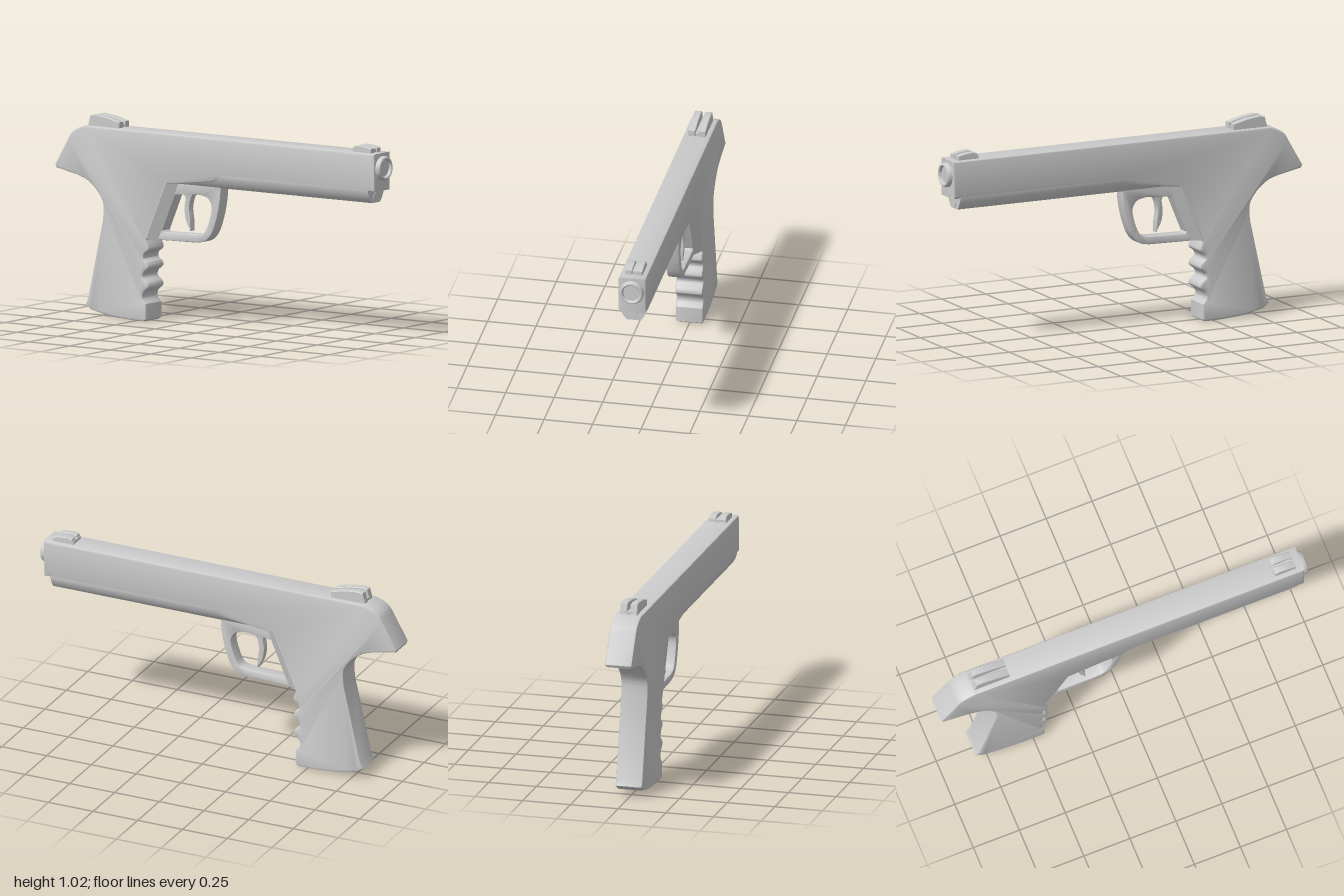
import * as THREE from 'three';
import { toCreasedNormals } from 'three/addons/utils/BufferGeometryUtils.js';

const material = new THREE.MeshStandardMaterial({ color: 0xcccccc });

function add(group, name, geometry, crease = 0.5) {
  const mesh = new THREE.Mesh(toCreasedNormals(geometry, crease), material);
  mesh.name = name;
  group.add(mesh);
  return mesh;
}

const vectors = (points) => points.map(([x, y]) => new THREE.Vector2(x, y));

// Side profile extruded symmetrically about zMid, with its outline kept by the bevel
function slab(shape, width, bevel, zMid = 0, segments = 2) {
  const geometry = new THREE.ExtrudeGeometry(shape, {
    depth: width - 2 * bevel, bevelEnabled: bevel > 0, bevelSize: bevel,
    bevelThickness: bevel, bevelOffset: -bevel, bevelSegments: segments, curveSegments: 8,
  });
  return geometry.translate(0, 0, zMid - width / 2 + bevel);
}

export function createModel() {
  const model = new THREE.Group();
  model.name = 'pistol';

  // Slide, frame and grip in one outline, counter-clockwise from the muzzle
  const body = new THREE.Shape();
  body.moveTo(0.975, 0.775);
  body.lineTo(0.975, 0.967);
  body.lineTo(-0.82, 0.967);
  body.splineThru(vectors([[-0.865, 0.95], [-0.9, 0.925], [-0.925, 0.885]]));
  body.lineTo(-1, 0.755);
  body.lineTo(-0.993, 0.74);
  body.lineTo(-0.87, 0.715);
  body.splineThru(vectors([[-0.8, 0.69], [-0.74, 0.64], [-0.704, 0.58], [-0.705, 0.5]]));
  body.lineTo(-0.797, 0.09);
  body.lineTo(-0.812, 0.06);
  body.lineTo(-0.78, 0.035);
  body.splineThru(vectors([[-0.67, 0.012], [-0.55, 0.002], [-0.45, 0]]));
  body.lineTo(-0.435, 0.01);
  body.lineTo(-0.435, 0.09);
  // Finger grooves
  body.splineThru(vectors([
    [-0.458, 0.12], [-0.45, 0.15], [-0.422, 0.175], [-0.428, 0.2], [-0.456, 0.225], [-0.45, 0.25],
    [-0.422, 0.275], [-0.428, 0.3], [-0.452, 0.32], [-0.446, 0.345], [-0.42, 0.37], [-0.436, 0.415],
  ]));
  body.lineTo(-0.31, 0.71);
  body.lineTo(-0.03, 0.745);
  body.lineTo(0.04, 0.775);
  add(model, 'slideFrameAndGrip', slab(body, 0.142, 0.011));

  // Rounded rail under the slide
  const rail = new THREE.Shape(vectors([
    [-0.07, 0.79], [-0.07, 0.772], [-0.062, 0.75], [-0.05, 0.728], [-0.034, 0.712],
    [0.034, 0.712], [0.05, 0.728], [0.062, 0.75], [0.07, 0.772], [0.07, 0.79],
  ]));
  const railGeometry = new THREE.ExtrudeGeometry(rail, { depth: 1.235, bevelEnabled: false });
  add(model, 'underRail', railGeometry.rotateY(Math.PI / 2).translate(-0.3, 0, 0));
  const plug = new THREE.CylinderGeometry(0.023, 0.023, 0.02, 20).rotateZ(Math.PI / 2);
  add(model, 'railPlug', plug.translate(0.928, 0.74, 0));

  // Muzzle ring with a shallow recessed bore
  const muzzle = new THREE.LatheGeometry(vectors([
    [0.062, 0.96], [0.062, 0.988], [0.057, 0.998], [0.05, 1], [0.045, 0.996], [0.043, 0.984], [0, 0.984],
  ]), 32);
  add(model, 'muzzle', muzzle.rotateZ(-Math.PI / 2).translate(0, 0.89, 0));

  // Trigger guard loop
  const guard = new THREE.Shape();
  guard.moveTo(-0.43, 0.417);
  guard.lineTo(-0.15, 0.422);
  guard.splineThru(vectors([[-0.095, 0.435], [-0.055, 0.475], [-0.025, 0.55], [-0.005, 0.64], [0.003, 0.725]]));
  guard.lineTo(-0.3, 0.725);
  const opening = new THREE.Path();
  opening.moveTo(-0.363, 0.467);
  opening.lineTo(-0.29, 0.655);
  opening.lineTo(-0.14, 0.668);
  opening.splineThru(vectors([[-0.085, 0.655], [-0.058, 0.615], [-0.068, 0.55], [-0.1, 0.48], [-0.15, 0.462]]));
  opening.lineTo(-0.35, 0.458);
  guard.holes.push(opening);
  add(model, 'triggerGuard', slab(guard, 0.072, 0.006));

  // Sloped transition from the full-width grip to the narrow guard
  const wedge = new THREE.Shape(vectors([[-0.03, -0.07], [0, -0.07], [0.055, -0.034], [0.055, 0.034], [0, 0.07], [-0.03, 0.07]]));
  const wedgeGeometry = new THREE.ExtrudeGeometry(wedge, { depth: 1, bevelEnabled: false });
  wedgeGeometry.applyMatrix4(new THREE.Matrix4().makeBasis(
    new THREE.Vector3(1, 0, 0), new THREE.Vector3(0, 0, -1), new THREE.Vector3(0.126, 0.3, 0),
  ).setPosition(-0.436, 0.42, 0));
  add(model, 'guardTransition', wedgeGeometry);

  // Curved trigger
  const trigger = new THREE.Shape();
  trigger.moveTo(-0.26, 0.675);
  trigger.splineThru(vectors([[-0.23, 0.645], [-0.235, 0.59], [-0.226, 0.53], [-0.197, 0.476]]));
  trigger.splineThru(vectors([[-0.198, 0.53], [-0.205, 0.59], [-0.193, 0.645], [-0.17, 0.675]]));
  add(model, 'trigger', slab(trigger, 0.04, 0.004));

  // Paired sight blades on low bases
  const sights = {
    rearSight: [[-0.815, 0.955], [-0.62, 0.955], [-0.62, 0.997], [-0.7, 1.017], [-0.77, 1.025], [-0.798, 1.02]],
    frontSight: [[0.813, 0.955], [0.935, 0.955], [0.935, 0.988], [0.9, 0.997], [0.85, 1.001], [0.828, 0.994]],
  };
  for (const [name, outline] of Object.entries(sights)) {
    const sight = new THREE.Group();
    sight.name = name;
    for (const side of [-1, 1]) {
      add(sight, 'sightBlade', slab(new THREE.Shape(vectors(outline)), 0.037, 0.003, side * 0.0265, 1));
    }
    const [start, end] = [outline[0][0], outline[1][0]];
    const base = new THREE.BoxGeometry(end - start - 0.012, 0.03, 0.08);
    add(sight, 'sightBase', base.translate((start + end) / 2, 0.967, 0));
    model.add(sight);
  }

  return model;
}
